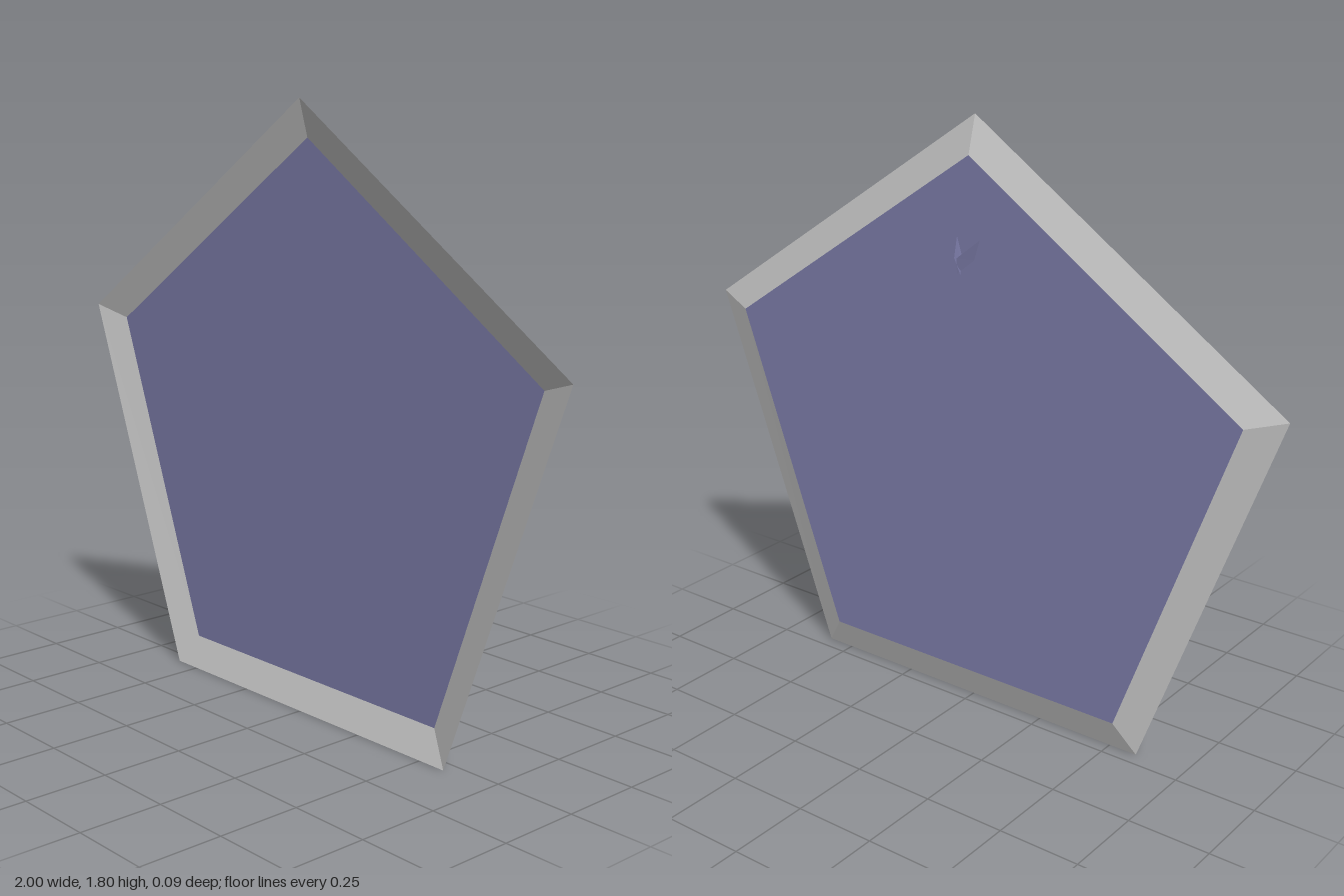
import * as THREE from 'three';

const FRONT_Z = 0.045, PANE_Z = 0.015;
const outer = [[0, 1.8], [-1, 1.125], [-0.59, 0], [0.59, 0], [1, 1.125]];
const inner = [[0, 1.69], [-0.885, 1.09], [-0.525, 0.095], [0.525, 0.095], [0.885, 1.09]];

// Flat-shaded four-sided faces, corners counter-clockwise
function quads(list) {
  const pos = [];
  for (const [a, b, c, d] of list) pos.push(...a, ...b, ...c, ...a, ...c, ...d);
  const geo = new THREE.BufferGeometry();
  geo.setAttribute('position', new THREE.Float32BufferAttribute(pos, 3));
  geo.computeVertexNormals();
  return geo;
}

function add(parent, name, geometry, color) {
  const material = new THREE.MeshStandardMaterial({ color, flatShading: true, side: THREE.DoubleSide });
  const mesh = new THREE.Mesh(geometry, material);
  mesh.name = name;
  parent.add(mesh);
  return mesh;
}

export function createModel() {
  const group = new THREE.Group();
  group.name = 'pentagonPanel';
  const blue = 0x8080ae;

  // Sloping rim from the outer edge back to the pane
  const rim = outer.map((p, i) => {
    const j = (i + 1) % outer.length;
    return [[...p, FRONT_Z], [...outer[j], FRONT_Z], [...inner[j], PANE_Z], [...inner[i], PANE_Z]];
  });
  add(group, 'rim', quads(rim), 0xcccccc);

  // Flat recessed pane
  const shape = new THREE.Shape(inner.map(([x, y]) => new THREE.Vector2(x, y)));
  add(group, 'pane', new THREE.ShapeGeometry(shape), blue).position.z = PANE_Z;

  // Small hook on the back: two slanted flaps meeting at a ridge
  const hook = new THREE.Group();
  hook.name = 'hook';
  for (const s of [1, -1]) {
    const flap = [
      [s * 0.04, 1.457, PANE_Z], [s * 0.02, 1.395, PANE_Z],
      [-s * 0.006, 1.362, -0.03], [s * 0.004, 1.412, -0.045],
    ];
    add(hook, s > 0 ? 'leftFlap' : 'rightFlap', quads([s > 0 ? flap : flap.reverse()]), blue);
  }
  group.add(hook);
  return group;
}
